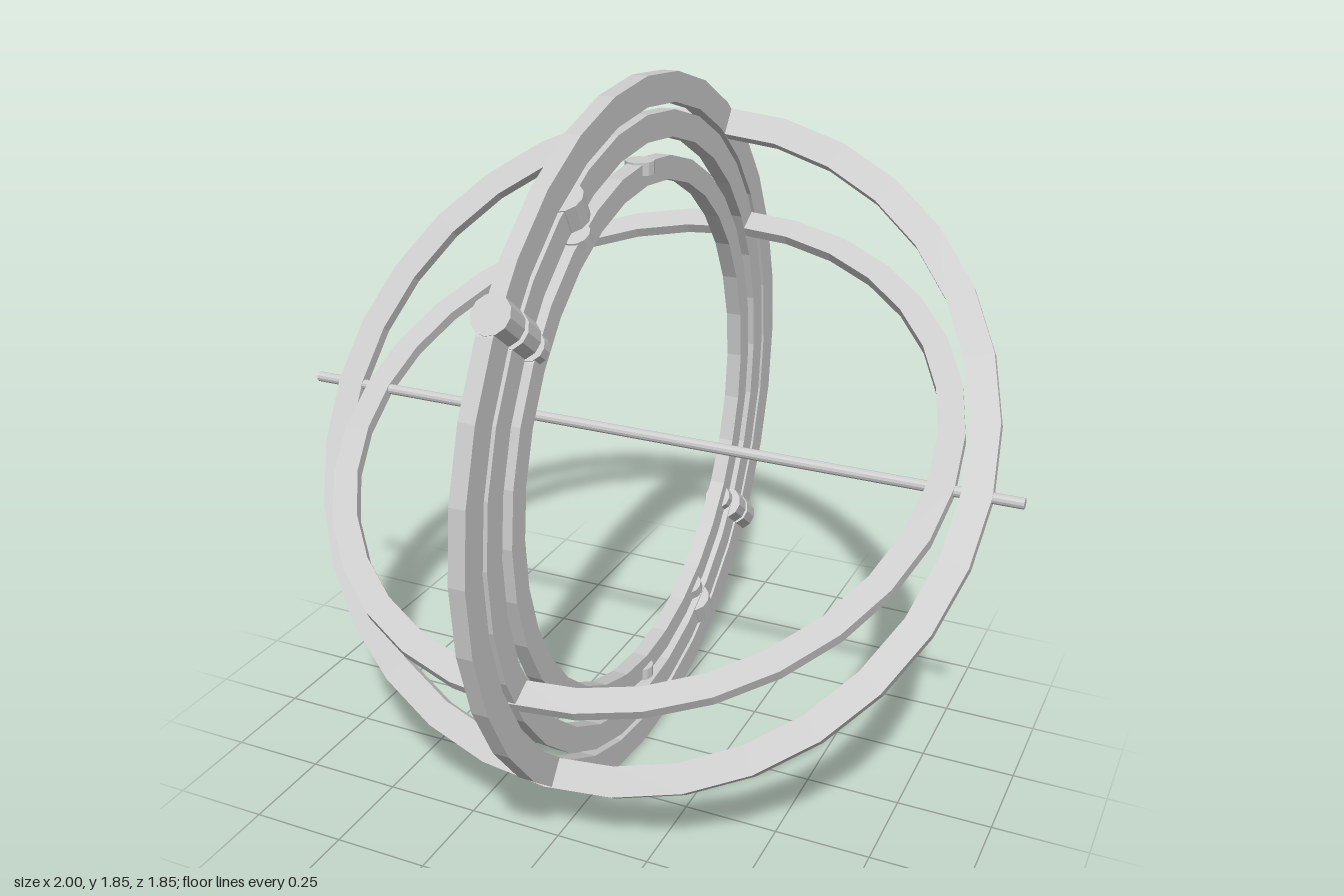
import * as THREE from 'three';

const CENTRE_Y = 0.925;
const RINGS = {
  outer: { inner: 0.85, outer: 0.925 },
  middle: { inner: 0.765, outer: 0.832 },
  innermost: { inner: 0.66, outer: 0.72 },
};
const EQUATOR_TILT = THREE.MathUtils.degToRad(53.1);
const ECLIPTIC_TILT = THREE.MathUtils.degToRad(29.2);

export function createModel() {
  const model = new THREE.Group();
  model.name = 'armillarySphere';
  const sphere = new THREE.Group();
  sphere.name = 'rings';
  sphere.position.y = CENTRE_Y;
  model.add(sphere);

  const material = new THREE.MeshStandardMaterial({ color: 0xcccccc, flatShading: true });

  function add(name, geometry) {
    const mesh = new THREE.Mesh(geometry, material);
    mesh.name = name;
    sphere.add(mesh);
    return mesh;
  }

  // Flat band with a rectangular section, turned around the y axis
  function band({ inner, outer }, thickness) {
    const h = thickness / 2;
    const section = [[inner, -h], [outer, -h], [outer, h], [inner, h], [inner, -h]];
    return new THREE.LatheGeometry(section.map(([r, y]) => new THREE.Vector2(r, y)), 32);
  }

  // Pair of pivot drums on opposite sides of a ring, along the tilted pole
  function pivots(name, tilt, from, to, radius) {
    for (const angle of [tilt, tilt + Math.PI]) {
      const drum = new THREE.CylinderGeometry(radius, radius, to - from, 12);
      drum.translate(0, (from + to) / 2, 0).rotateX(angle);
      add(name, drum);
    }
  }

  // Three nested upright rings
  for (const [name, size] of Object.entries(RINGS)) {
    add(name + 'MeridianRing', band(size, 0.042).rotateZ(Math.PI / 2));
  }

  // Two slanted rings
  add('equatorRing', band(RINGS.outer, 0.03).rotateX(EQUATOR_TILT));
  add('eclipticRing', band(RINGS.middle, 0.03).rotateX(ECLIPTIC_TILT));

  // Level rod through the centre
  add('axisRod', new THREE.CylinderGeometry(0.014, 0.014, 2, 12).rotateZ(Math.PI / 2));

  // Pivots: equator poles cross all rings, ecliptic poles the inner two
  pivots('outerPivot', EQUATOR_TILT, 0.85, 0.925, 0.048);
  for (const tilt of [EQUATOR_TILT, ECLIPTIC_TILT]) {
    pivots('middlePivot', tilt, 0.765, 0.832, 0.048);
  }
  for (const tilt of [EQUATOR_TILT, ECLIPTIC_TILT, 0]) {
    pivots('innerPivot', tilt, 0.69, 0.722, 0.037);
  }

  return model;
}
